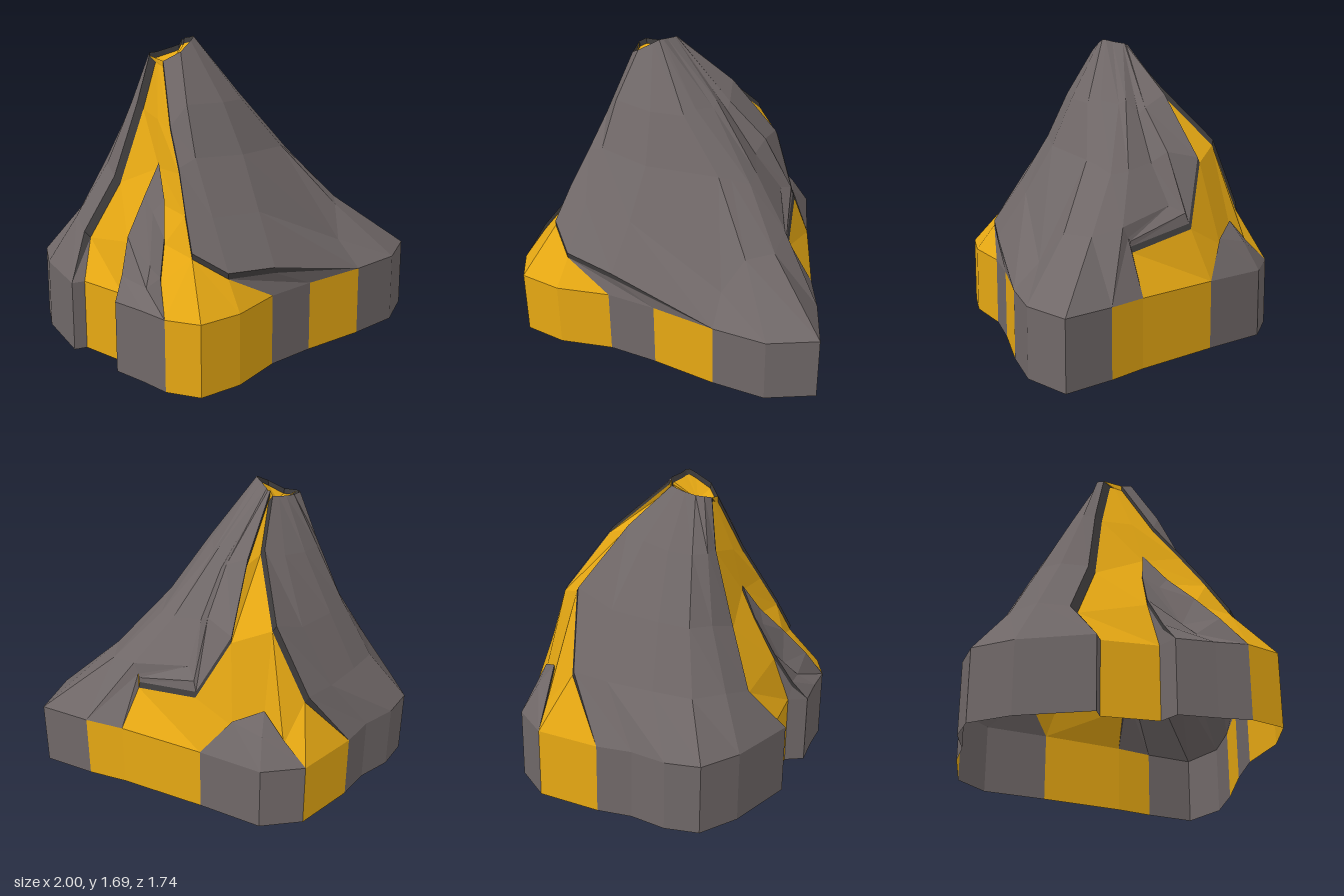
import * as THREE from 'three';

const mat = (color) => new THREE.MeshStandardMaterial({ color, flatShading: true, side: THREE.DoubleSide });
const TOP = 0.39; // height of the plinth wall

// Surface lofted between equal-length rows of [x, y, z] points.
function loft(rows) {
  const pos = [];
  for (let i = 0; i < rows.length - 1; i++) {
    const a = rows[i], b = rows[i + 1];
    for (let j = 0; j < a.length - 1; j++) {
      pos.push(...a[j], ...a[j + 1], ...b[j + 1], ...a[j], ...b[j + 1], ...b[j]);
    }
  }
  const g = new THREE.BufferGeometry();
  g.setAttribute('position', new THREE.Float32BufferAttribute(pos, 3));
  g.computeVertexNormals();
  return g;
}

// A rock edge dropped onto the lava beneath it; points on the plinth stay put.
const drop = (path, dx = 0, dz = 0) => path.map(([x, y, z]) =>
  y <= TOP ? [x, y, z] : [x + dx, Math.max(TOP, y - 0.03), z + dz]);

export function createModel() {
  const group = new THREE.Group();
  group.name = 'volcano';
  const rock = mat(0x706868), lava = mat(0xe6a813), lip = mat(0x3c3a3a);
  const add = (name, material, ...rows) => {
    const mesh = new THREE.Mesh(loft(rows), material);
    mesh.name = name;
    group.add(mesh);
  };

  // Rock slopes: columns run from the crater down to the plinth, going around the cone.
  const front = [
    [[-.46, 1.57, .08], [-.52, 1.25, .26], [-.55, 1.06, .4], [-.59, .87, .53], [-.62, .68, .65]],
    [[-.38, 1.62, .13], [-.43, 1.36, .28], [-.45, 1.1, .4], [-.45, .82, .57], [-.46, .57, .74]],
    [[-.3, 1.67, .1], [-.2, 1.35, .27], [-.15, 1.08, .39], [-.15, .8, .55], [-.16, .54, .72]],
    [[-.27, 1.69, .08], [-.03, 1.34, .19], [.22, 1.05, .22], [.43, .53, .5], [.47, TOP, .64]],
    [[-.26, 1.69, .06], [0, 1.36, .12], [.27, 1.03, .17], [.5, .7, .37], [.77, TOP, .58]],
    [[-.26, 1.68, .02], [.05, 1.34, .02], [.35, .99, .1], [.6, .7, .23], [1, TOP, .4]],
    [[-.25, 1.67, -.04], [.05, 1.36, -.02], [.33, 1, 0], [.56, .74, .06], [.84, TOP, .15]],
    [[-.25, 1.67, -.05], [.07, 1.28, -.09], [.23, 1.03, -.14], [.36, .81, -.22], [.55, .68, .03]],
    [[-.25, 1.66, -.06], [.06, 1.32, -.13], [.24, 1.09, -.23], [.38, .77, -.31], [.55, .66, .02]],
    [[-.26, 1.66, -.07], [0, 1.39, -.25], [.2, 1.05, -.41], [.38, .71, -.33], [.55, .63, .02]],
  ];
  const back = [
    [[-.27, 1.63, -.08], [-.11, 1.42, -.25], [0, 1.12, -.54], [-.11, .72, -.71], [-.34, TOP, -.8]],
    [[-.31, 1.62, -.08], [-.23, 1.36, -.27], [-.2, 1.03, -.5], [-.3, .7, -.66], [-.52, TOP, -.73]],
    [[-.36, 1.61, -.08], [-.38, 1.33, -.25], [-.45, 1, -.42], [-.53, .68, -.57], [-.72, TOP, -.71]],
    [[-.42, 1.6, -.07], [-.5, 1.32, -.2], [-.6, .98, -.35], [-.72, .66, -.48], [-.89, TOP, -.63]],
    [[-.47, 1.6, -.06], [-.55, 1.32, -.13], [-.66, .97, -.23], [-.82, .66, -.32], [-.97, TOP, -.4]],
    [[-.49, 1.59, -.02], [-.55, 1.33, -.06], [-.69, .93, -.08], [-.85, .62, -.15], [-1, TOP, 0]],
  ];
  const side = [
    [[-.56, 1.05, .2], [-.65, .88, .2], [-.77, .68, .23], [-.85, .5, .31], [-.92, TOP, .37]],
    [[-.56, 1.05, .2], [-.65, .81, .29], [-.73, .55, .4], [-.79, .47, .47], [-.86, TOP, .56]],
    [[-.56, 1.05, .2], [-.6, .88, .33], [-.68, .72, .47], [-.77, .56, .59], [-.82, TOP, .72]],
  ];
  const corner = [
    [[.12, .66, -.62], [.27, .59, -.53], [.43, TOP, -.45]],
    [[.12, .66, -.62], [.18, .55, -.69], [.24, TOP, -.77]],
    [[.12, .66, -.62], [.07, .52, -.74], [.01, TOP, -.87]],
  ];
  add('frontSlope', rock, ...front);
  add('backSlope', rock, ...back);
  add('sideRidge', rock, ...side);
  add('cornerRock', rock, ...corner);

  // Dark broken edges where the rock overhangs the lava
  const hem = front.slice(0, 4).map((c) => c[4]), rightEdge = front[9];
  const frontLow = drop(front[0]), hemLow = drop(hem);
  const rightLow = drop(rightEdge, .01, -.01), backLow = drop(back[0], .02, .01);
  const leftLow = drop(back[5], .02, .035);
  const sideLow0 = drop(side[0]), sideLow2 = drop(side[2]);
  const cornerLow0 = drop(corner[0]), cornerLow2 = drop(corner[2]);
  const edges = [
    [front[0], frontLow], [hem, hemLow], [rightEdge, rightLow], [back[0], backLow],
    [back[5], leftLow], [side[0], sideLow0], [side[2], sideLow2],
    [corner[0], cornerLow0], [corner[2], cornerLow2],
  ];
  for (const [edge, low] of edges) add('rockEdge', lip, edge, low);

  // Lava streams filling the valleys between the slopes
  const spill = [[-.47, 1.55, .04], [-.53, 1.27, .14]];
  add('frontLava', lava, [...spill, sideLow2[0]], frontLow.slice(0, 3));
  add('frontLavaFan', lava, sideLow2, [frontLow[2], frontLow[3], frontLow[3], frontLow[4], frontLow[4]]);
  add('frontLavaPool', lava, [sideLow2[4], frontLow[4], hemLow[1], hemLow[1]],
    [[-.82, TOP, .72], [-.7, TOP, .87], [-.46, TOP, .85], [-.18, TOP, .73]]);
  add('leftLava', lava, [...leftLow.slice(0, 4), [-.93, TOP, .01]],
    [...spill, sideLow0[0], sideLow0[2], [-.84, TOP, .29]]);
  add('backLava', lava, backLow.slice(0, 3), rightLow.slice(0, 3));
  add('backLavaFork', lava, [backLow[2], backLow[2]], [rightLow[2], cornerLow0[0]]);
  add('backLavaPool', lava, backLow.slice(2), cornerLow2);
  const wallCorner = [.43, TOP, -.45];
  add('rightLavaPool', lava, [...rightLow.slice(2), [.7, TOP, -.03]],
    [cornerLow0[0], cornerLow0[1], wallCorner, wallCorner]);

  // Lava spilling over the crater rim into the two streams
  add('leftBreach', lava, [back[5][0], back[5][0], front[0][0]], [leftLow[0], spill[0], frontLow[0]]);
  add('backBreach', lava, [rightEdge[0], back[0][0]], [rightLow[0], backLow[0]]);

  // Rock feet closing the gaps above the plinth
  add('frontFoot', rock, [hemLow[1], hemLow[2], hemLow[3]],
    [[-.18, TOP, .73], [.1, TOP, .68], [.47, TOP, .64]]);
  add('rightFoot', rock, [front[7][4], rightLow[4]], [[.84, TOP, .15], [.7, TOP, -.03]]);
  add('sideFoot', rock, [sideLow0[3], sideLow0[2]], [side[0][4], [-.84, TOP, .29]]);
  add('leftFoot', rock, [leftLow[3], leftLow[3]], [[-1, TOP, 0], [-.93, TOP, .01]]);

  // Crater: dark inner rim and a lava floor
  const rim = [...front, ...back].map((c) => c[0]);
  rim.push(rim[0]);
  const floorEdge = rim.map(([x, y, z]) => [-.37 + (x + .37) * .93, y - .03, .02 + (z - .02) * .93]);
  add('craterRim', lip, rim, floorEdge);
  add('craterLava', lava, floorEdge, floorEdge.map(() => [-.37, 1.55, .02]));

  // Plinth wall: [x, z, 1 if the wall up to the next corner is lava]
  const outline = [
    [-.82, .72, 1], [-.7, .87, 1], [-.46, .85, 1], [-.18, .73, 0], [.1, .68, 1], [.47, .64, 0],
    [.77, .58, 0], [1, .4, 0], [.84, .15, 1], [.7, -.03, 1], [.43, -.45, 0], [.24, -.77, 0],
    [.01, -.87, 1], [-.34, -.8, 0], [-.52, -.73, 0], [-.72, -.71, 0], [-.89, -.63, 0],
    [-.97, -.4, 0], [-1, 0, 0], [-.93, .01, 1], [-.84, .29, 0], [-.92, .37, 0], [-.86, .56, 0],
  ];
  outline.forEach(([x, z, isLava], i) => {
    const [nx, nz] = outline[(i + 1) % outline.length];
    add(isLava ? 'lavaWall' : 'rockWall', isLava ? lava : rock,
      [[x, TOP, z], [x, 0, z]], [[nx, TOP, nz], [nx, 0, nz]]);
  });
  return group;
}
